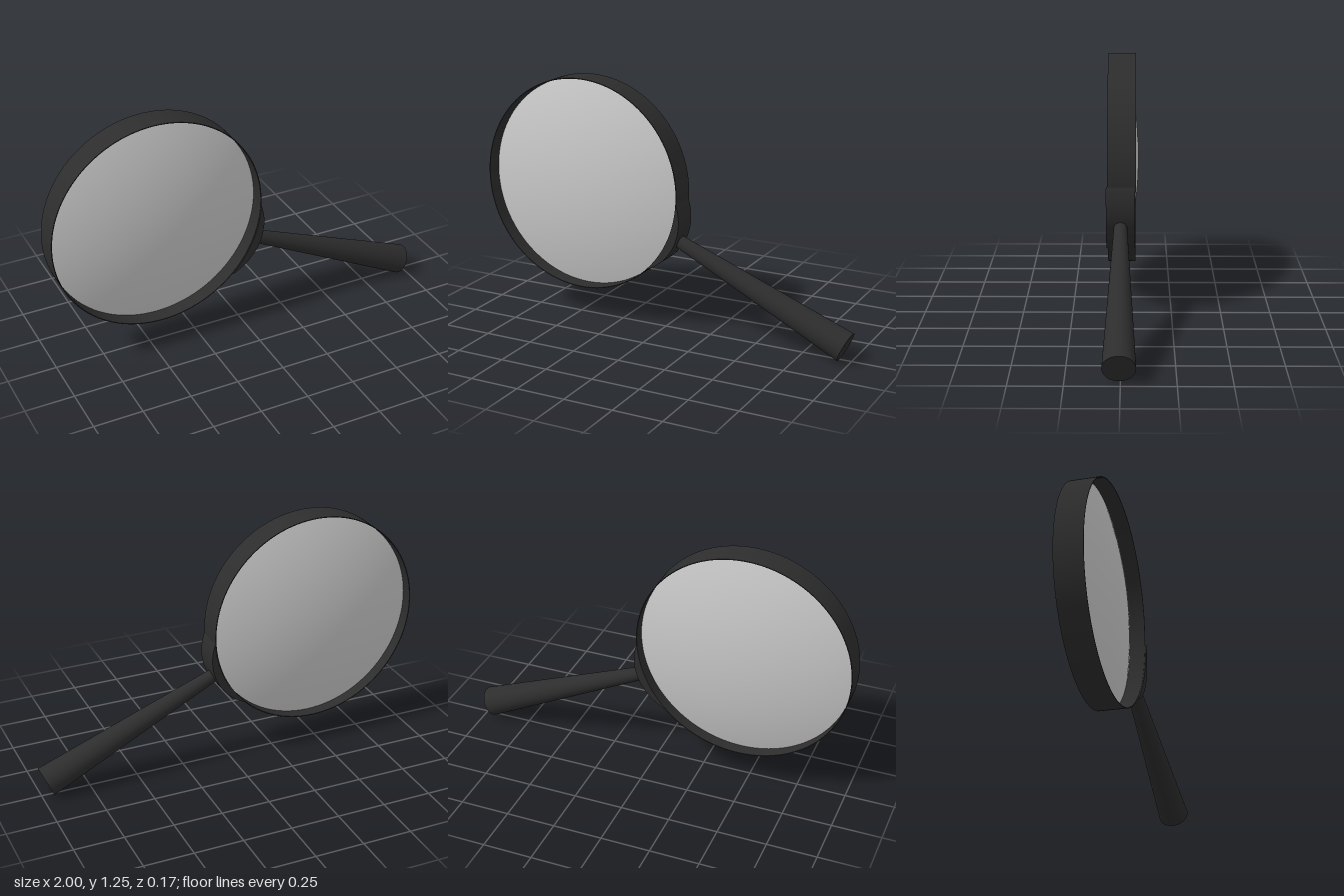
import * as THREE from 'three';
import { toCreasedNormals } from 'three/addons/utils/BufferGeometryUtils.js';

const RIM_R = 0.547;      // outer radius of the rim
const LENS_R = 0.543;     // lens radius, also the inside of the rim
const TILT = -0.421;      // direction of the handle, radial from the lens centre

// Extrude a shape between two depths, smooth around curves, sharp at edges
function slab(shape, z0, z1) {
  const geo = new THREE.ExtrudeGeometry(shape, { depth: z1 - z0, bevelEnabled: false, curveSegments: 96 });
  geo.translate(0, 0, z0);
  return toCreasedNormals(geo, 0.5);
}

export function createModel() {
  const model = new THREE.Group();
  model.name = 'magnifyingGlass';
  const dark = new THREE.MeshStandardMaterial({ color: 0x2d2d2d });
  const glass = new THREE.MeshStandardMaterial({ color: 0xcccccc });

  const add = (name, geo, mat) => {
    const mesh = new THREE.Mesh(geo, mat);
    mesh.name = name;
    model.add(mesh);
    return mesh;
  };

  // Thin band around the lens
  const ring = new THREE.Shape().absarc(0, 0, RIM_R, 0, Math.PI * 2, false);
  ring.holes.push(new THREE.Path().absarc(0, 0, LENS_R, 0, Math.PI * 2, true));
  add('rim', slab(ring, -0.068, 0.073), dark);

  // Biconvex lens: one shallow spherical cap on each face
  const bulge = 0.079, capR = (LENS_R ** 2 + bulge ** 2) / (2 * bulge);
  const maxAngle = Math.asin(LENS_R / capR);
  for (const side of [1, -1]) {
    const profile = [];
    for (let i = 0; i <= 24; i++) {
      const a = maxAngle * (side > 0 ? 1 - i / 24 : i / 24);
      profile.push(new THREE.Vector2(capR * Math.sin(a), side * (capR * Math.cos(a) - capR + bulge)));
    }
    const cap = add(side > 0 ? 'lensFront' : 'lensBack', new THREE.LatheGeometry(profile, 96), glass);
    cap.rotation.x = Math.PI / 2;
    cap.position.z = -0.006;
  }

  // Crescent collar where the handle meets the rim
  const half = 0.366, bossX = 0.303, bossR = 0.285;
  const bossHalf = Math.atan2(RIM_R * Math.sin(half), RIM_R * Math.cos(half) - bossX);
  const crescent = new THREE.Shape();
  crescent.absarc(bossX, 0, bossR, -bossHalf, bossHalf, false);
  crescent.absarc(0, 0, LENS_R + 0.002, half, -half, true);
  add('handleCollar', slab(crescent, -0.063, 0.079), dark).rotation.z = TILT;

  // Tapered handle, widening to its flat end
  const start = 0.56, end = 1.558;
  const handleGeo = new THREE.CylinderGeometry(0.077, 0.032, end - start, 48);
  handleGeo.rotateZ(-Math.PI / 2);
  handleGeo.translate((start + end) / 2, 0, 0.007);
  add('handle', handleGeo, dark).rotation.z = TILT;

  // Place the lens centre so the handle end rests on the ground
  for (const part of model.children) {
    part.position.x -= 0.453;
    part.position.y += 0.707;
  }
  return model;
}
